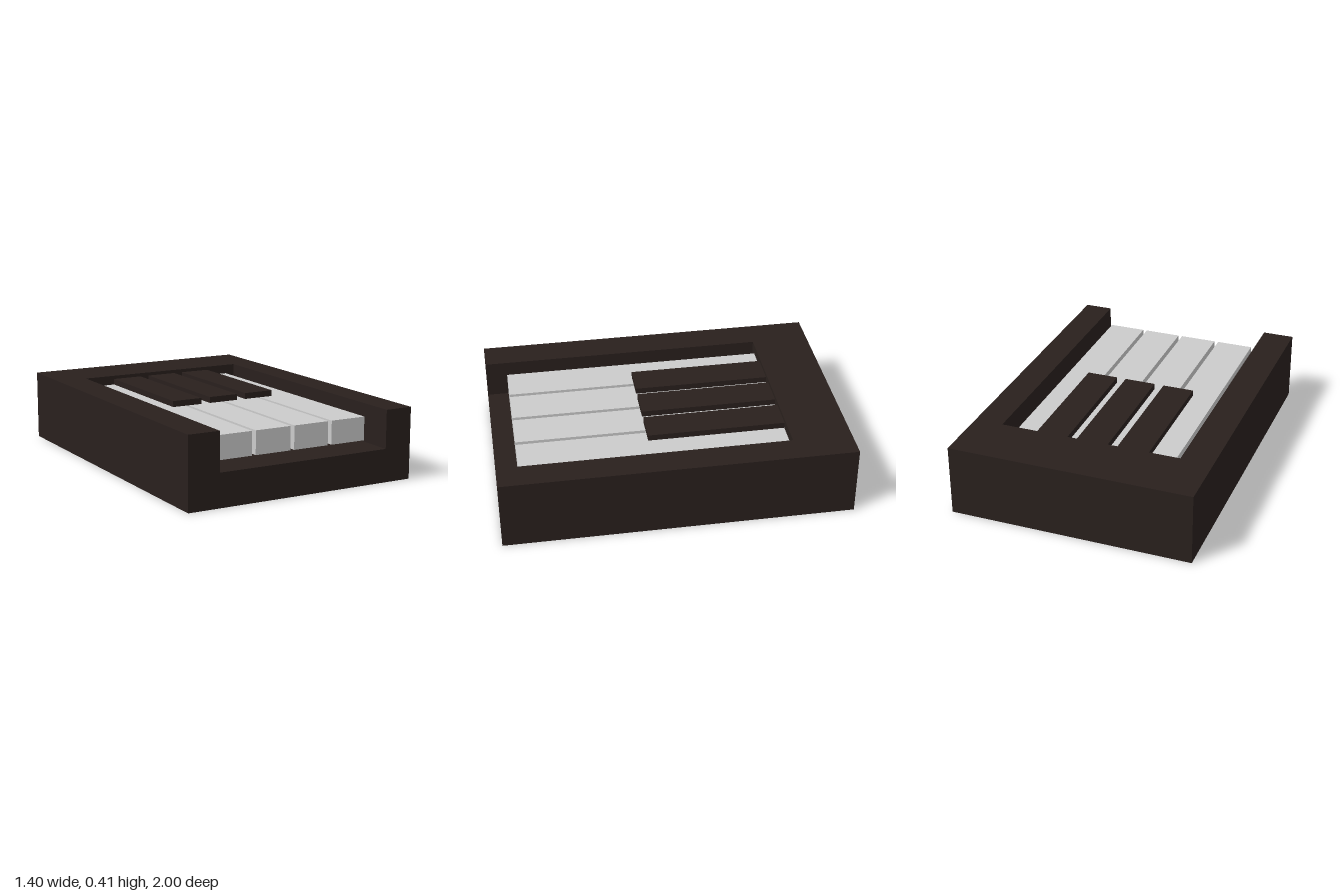
import * as THREE from 'three';

const dark = new THREE.MeshStandardMaterial({ color: 0x29201d });
const pale = new THREE.MeshStandardMaterial({ color: 0xcccccc });

// Box given by its extents along x, y and z
function block(name, material, [x0, x1], [y0, y1], [z0, z1]) {
  const mesh = new THREE.Mesh(new THREE.BoxGeometry(x1 - x0, y1 - y0, z1 - z0), material);
  mesh.position.set((x0 + x1) / 2, (y0 + y1) / 2, (z0 + z1) / 2);
  mesh.name = name;
  return mesh;
}

export function createModel() {
  const group = new THREE.Group();
  group.name = 'pianoKeys';

  const floorY = 0.19, topY = 0.41, backZ = -0.66;
  const left = 0.535, right = -0.515;

  // Base slab
  group.add(block('base', dark, [-0.7, 0.7], [0, floorY], [-1, 1]));

  // U-shaped rim, open at the front (shape y becomes -z)
  const outline = [
    [-0.7, -1], [right, -1], [right, -backZ], [left, -backZ],
    [left, -1], [0.7, -1], [0.7, 1], [-0.7, 1],
  ].map(([x, y]) => new THREE.Vector2(x, y));
  const rimGeometry = new THREE.ExtrudeGeometry(new THREE.Shape(outline), {
    depth: topY - floorY, bevelEnabled: false,
  });
  rimGeometry.rotateX(-Math.PI / 2);
  const rim = new THREE.Mesh(rimGeometry, dark);
  rim.position.y = floorY;
  rim.name = 'rim';
  group.add(rim);

  // Four white keys, held just above the base
  for (let i = 0; i < 4; i++) {
    const x = -0.467 + i * 0.242;
    group.add(block('whiteKey' + (i + 1), pale, [x, x + 0.218], [0.22, 0.355], [backZ, 0.875]));
  }

  // Three black keys resting on the white ones
  [-0.325, -0.085, 0.154].forEach((x, i) => {
    group.add(block('blackKey' + (i + 1), dark, [x, x + 0.183], [0.355, 0.39], [backZ, 0.13]));
  });

  return group;
}
